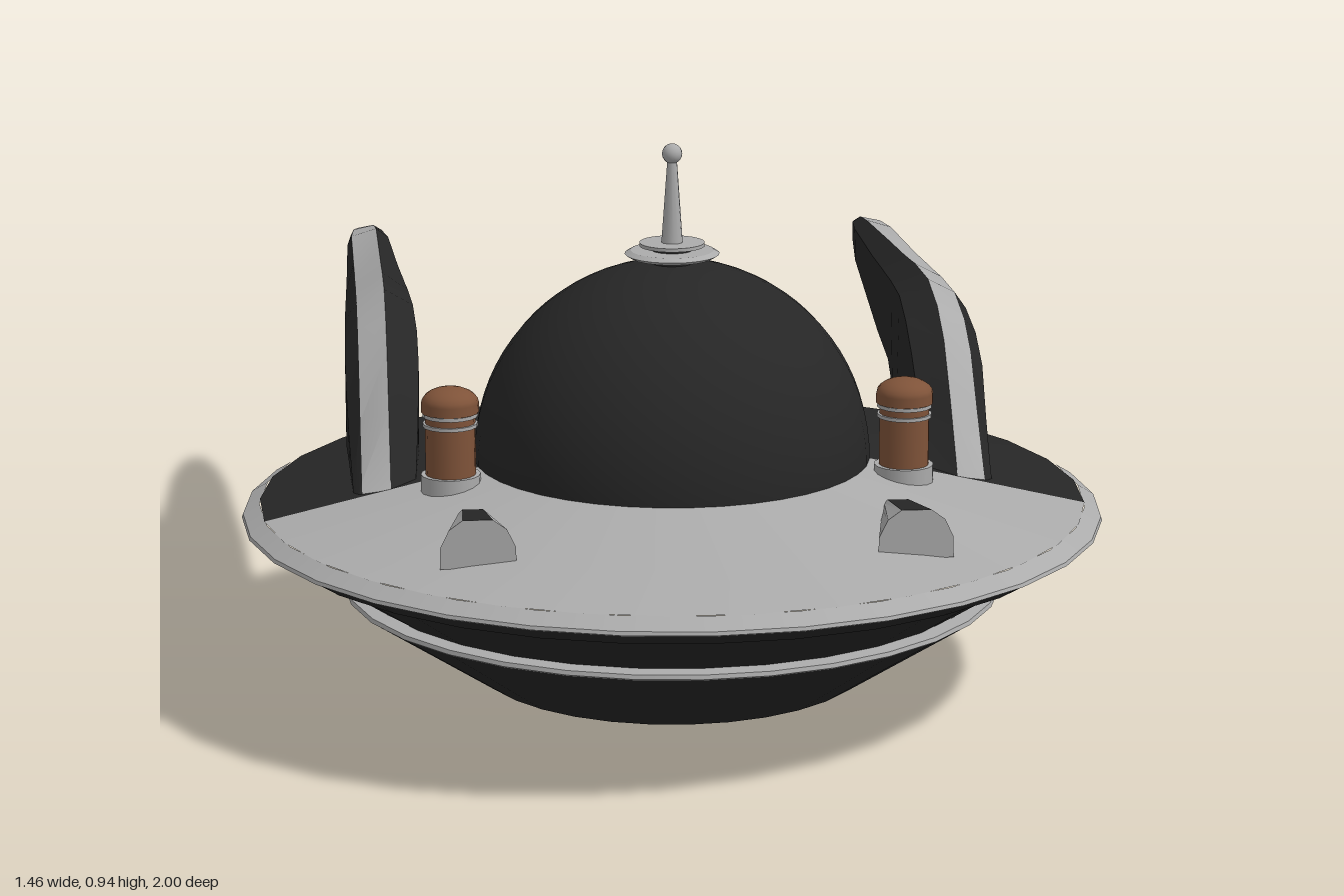
import * as THREE from 'three';
import { mergeGeometries, toCreasedNormals } from 'three/addons/utils/BufferGeometryUtils.js';

const material = (name, color) => {
  const m = new THREE.MeshStandardMaterial({ color });
  m.name = name;
  return m;
};

// Lathe whose profile corners stay sharp: one band per profile segment
function turned(profile, segments = 32, start = 0, sweep = Math.PI * 2) {
  const bands = [];
  for (let i = 0; i < profile.length - 1; i++) {
    const pts = [profile[i], profile[i + 1]].map(([r, y]) => new THREE.Vector2(r, y));
    bands.push(new THREE.LatheGeometry(pts, segments, start, sweep));
  }
  return mergeGeometries(bands);
}

// Skin closed rings running front to back; pick(j) gives the material of side j
function loft(rings, pick, capMaterial, flip = false) {
  const lists = [[], []];
  const tri = (m, a, b, c) => lists[m].push(...a, ...(flip ? c : b), ...(flip ? b : c));
  const n = rings[0].length;
  for (let i = 0; i < rings.length - 1; i++) {
    for (let j = 0; j < n; j++) {
      const k = (j + 1) % n;
      const a = rings[i][j], b = rings[i][k], c = rings[i + 1][k], d = rings[i + 1][j];
      tri(pick(j), a, d, c);
      tri(pick(j), a, c, b);
    }
  }
  const last = rings[rings.length - 1];
  for (let j = 1; j < n - 1; j++) {
    tri(capMaterial, rings[0][0], rings[0][j], rings[0][j + 1]);
    tri(capMaterial, last[0], last[j + 1], last[j]);
  }
  const geo = new THREE.BufferGeometry();
  geo.setAttribute('position', new THREE.Float32BufferAttribute([...lists[0], ...lists[1]], 3));
  geo.addGroup(0, lists[0].length / 3, 0);
  geo.addGroup(lists[0].length / 3, lists[1].length / 3, 1);
  return toCreasedNormals(geo, 0.4);
}

// Fin stations: top z, top y, bottom z, bottom y
const FIN = [
  [0.367, 0.34, 0.34, 0.33], [0.33, 0.386, 0.25, 0.33], [0.25, 0.483, 0.15, 0.33],
  [0.17, 0.568, 0.08, 0.33], [0.09, 0.61, 0.02, 0.33], [-0.02, 0.633, -0.05, 0.33],
  [-0.18, 0.627, -0.115, 0.343], [-0.25, 0.62, -0.15, 0.386], [-0.33, 0.613, -0.21, 0.413],
  [-0.5, 0.6, -0.39, 0.424], [-0.82, 0.574, -0.8, 0.48], [-0.93, 0.558, -0.92, 0.503],
  [-0.98, 0.547, -0.975, 0.517], [-1, 0.537, -0.998, 0.527],
];

function finGeometry(side) {
  const { lerp, clamp } = THREE.MathUtils;
  const rings = FIN.map(([tz, ty, bz, by]) => {
    const t = clamp((0.1 - tz) / 1.1, 0, 1);
    const front = clamp((tz - 0.2) / 0.17, 0, 1);
    const pinch = tz < -0.9 ? 1 - 6 * (-0.9 - tz) : 1;
    const length = Math.hypot(tz - bz, ty - by);
    const point = (x, inset, fromTop) => {
      const f = Math.min(inset / length, inset * 6);
      const u = fromTop ? f : 1 - f;
      return [side * (0.497 + (x - 0.497) * pinch), lerp(ty, by, u), lerp(tz, bz, u)];
    };
    const section = [
      [lerp(0.55, 0.532, t) - 0.01 * front, 0.055],
      [0.527, 0.025],
      [0.479, 0],
      [lerp(0.425, 0.462, t) + 0.015 * front, 0.03],
    ];
    return [
      ...section.map(([x, d]) => point(x, d, true)),
      ...section.reverse().map(([x, d]) => point(x, d, false)),
    ];
  });
  // sides 1 and 5 are the pale edge strip
  return loft(rings, (j) => (j === 1 || j === 5 ? 1 : 0), 1, side < 0);
}

function lampGeometry() {
  const front = [[0.061, 0], [0.06, 0.035], [0.046, 0.064], [0.024, 0.08]];
  const rear = [[0.026, 0], [0.026, 0.008], [0.023, 0.018], [0.017, 0.024]];
  const ring = (half, y, z) => [
    ...half.map(([x, h]) => [x, y + h, z]),
    ...[...half].reverse().map(([x, h]) => [-x, y + h, z]),
  ];
  // sides 1, 2, 4, 5 are the pale shoulders
  return loft([ring(front, 0.346, 0.735), ring(rear, 0.362, 0.53)],
    (j) => ([1, 2, 4, 5].includes(j) ? 1 : 0), 1);
}

export function createModel() {
  const black = material('black', 0x262626);
  const grey = material('grey', 0xababab);
  const brown = material('brown', 0x7f5339);
  const model = new THREE.Group();
  model.name = 'flyingSaucer';
  const add = (parent, name, geo, mat) => {
    const mesh = new THREE.Mesh(geo, mat);
    mesh.name = name;
    parent.add(mesh);
    return mesh;
  };

  // Saucer body, turned about its own axis
  const saucer = new THREE.Group();
  saucer.name = 'saucer';
  saucer.position.z = 0.265;
  model.add(saucer);
  add(saucer, 'lowerHull', turned([[0, 0], [0.03, 0], [0.09, 0.03], [0.335, 0.03], [0.555, 0.178]]), black);
  add(saucer, 'hullBand', turned([[0.555, 0.178], [0.56, 0.181], [0.558, 0.188], [0.53, 0.19]]), grey);
  add(saucer, 'upperHull', turned([[0.53, 0.19], [0.66, 0.277], [0.685, 0.28], [0.72, 0.303]]), black);
  add(saucer, 'rim', turned([[0.72, 0.303], [0.73, 0.307], [0.728, 0.313], [0.7, 0.33]]), grey);

  // Deck: pale front sector, dark rear sector
  const deck = [[0.7, 0.33], [0.32, 0.403]];
  const half = THREE.MathUtils.degToRad(80.8);
  add(saucer, 'frontDeck', turned(deck, 15, -half, 2 * half), grey);
  add(saucer, 'rearDeck', turned(deck, 17, half, 2 * Math.PI - 2 * half), black);

  const dome = new THREE.SphereGeometry(0.336, 40, 20, 0, Math.PI * 2, 0, Math.PI / 2);
  add(saucer, 'dome', dome, black).position.y = 0.4;

  // Radial vents under the hull
  const vents = [];
  for (let i = 0; i < 16; i++) {
    vents.push(new THREE.RingGeometry(0.12, 0.28, 1, 1, (i / 16) * Math.PI * 2 - 0.06, 0.12));
  }
  add(saucer, 'vents', mergeGeometries(vents).rotateX(Math.PI / 2), grey).position.y = 0.027;

  // Antenna
  const antenna = new THREE.Group();
  antenna.name = 'antenna';
  saucer.add(antenna);
  add(antenna, 'antennaNeck', turned([[0.035, 0.72], [0.035, 0.766]], 20), black);
  add(antenna, 'lowerDisc', turned([[0.03, 0.744], [0.07, 0.744], [0.08, 0.75], [0.07, 0.756], [0.03, 0.756]], 24), grey);
  add(antenna, 'upperDisc', turned([[0, 0.763], [0.055, 0.763], [0.055, 0.769], [0, 0.769]], 24), grey);
  add(antenna, 'mast', turned([[0.018, 0.769], [0.008, 0.91]], 12), grey);
  add(antenna, 'antennaBall', new THREE.SphereGeometry(0.017, 16, 10), grey).position.y = 0.92;

  // Canisters around the dome
  for (const [x, z] of [[-0.38, 0.385], [0.38, 0.385], [0, -0.135]]) {
    const can = new THREE.Group();
    can.name = 'canister';
    can.position.set(x, 0, z);
    add(can, 'canisterBase', turned([[0.05, 0.36], [0.05, 0.408], [0, 0.408]], 16), grey);
    add(can, 'canisterBody', turned([[0.042, 0.4], [0.042, 0.52]], 16), brown);
    for (const y of [0.49, 0.507]) {
      add(can, 'canisterRing', turned([[0.04, y], [0.046, y], [0.046, y + 0.006], [0.04, y + 0.006]], 16), grey);
    }
    add(can, 'canisterCap', turned([[0.04, 0.514], [0.048, 0.514], [0.048, 0.53]], 16), brown);
    const top = new THREE.SphereGeometry(0.048, 16, 6, 0, Math.PI * 2, 0, Math.PI / 2);
    top.scale(1, 0.55, 1);
    add(can, 'canisterTop', top, brown).position.y = 0.53;
    model.add(can);
  }

  // Paired fins and lamps
  for (const side of [1, -1]) {
    const prefix = side > 0 ? 'left' : 'right';
    add(model, prefix + 'Fin', finGeometry(side), [black, grey]);
    add(model, prefix + 'Lamp', lampGeometry(), [black, grey]).position.x = 0.35 * side;
  }
  return model;
}
